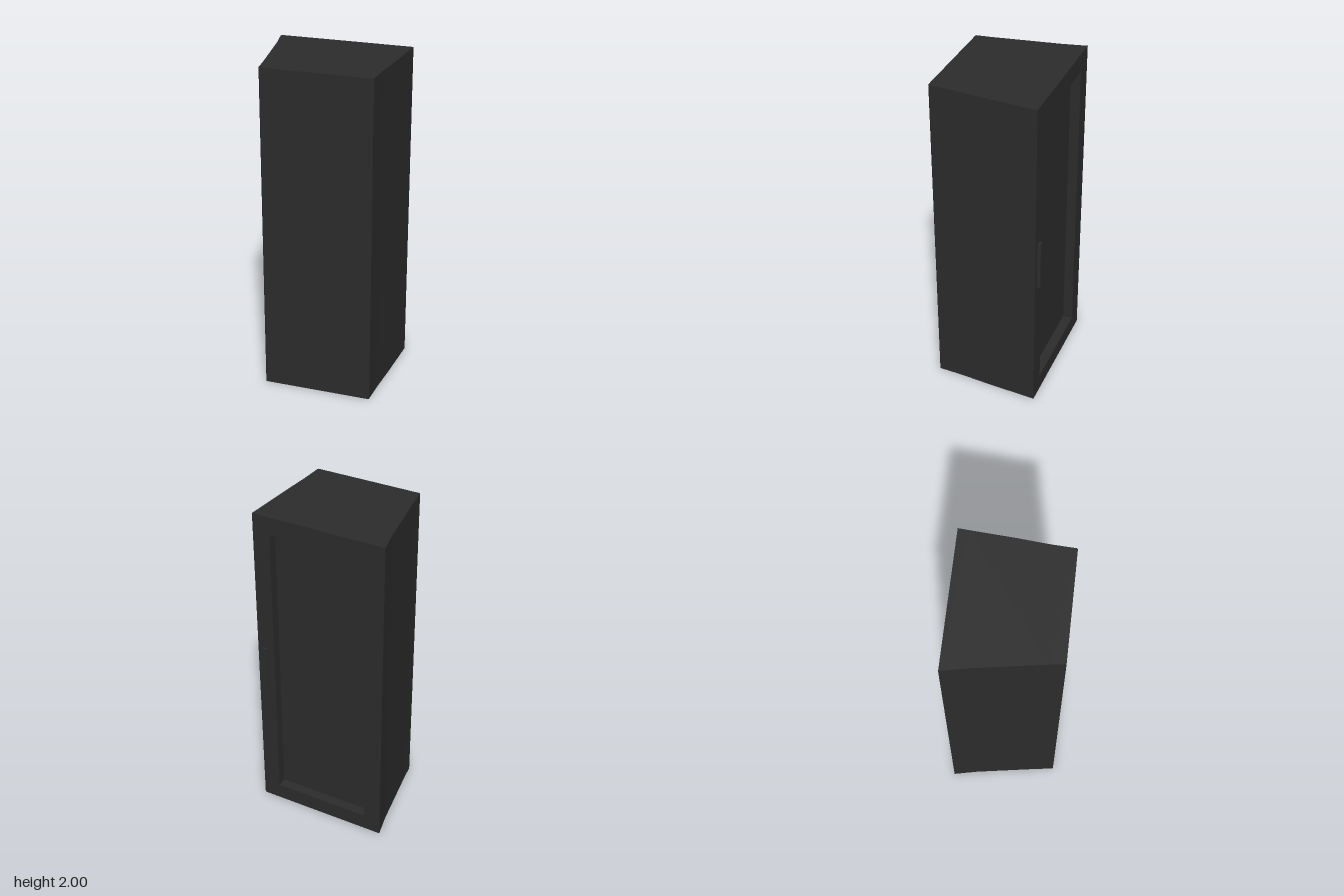
import * as THREE from 'three';

const BACK = -0.315;    // outer plane of the door frame
const RECESS = -0.255;  // plane of the sunken door panel

export function createModel() {
  const group = new THREE.Group();
  const charcoal = new THREE.MeshStandardMaterial({ color: 0x2c2c2c });
  charcoal.name = 'charcoal';

  const add = (name, geometry) => {
    const mesh = new THREE.Mesh(geometry, charcoal);
    mesh.name = name;
    group.add(mesh);
    return mesh;
  };

  const outline = (points) => new THREE.Shape(points.map(([x, y]) => new THREE.Vector2(x, y)));

  // Extrudes a plan outline (x, z) upwards from y0 to y1
  const upright = (plan, y0, y1) => {
    const g = new THREE.ExtrudeGeometry(outline(plan), { depth: y1 - y0, bevelEnabled: false });
    g.rotateX(Math.PI / 2);
    g.translate(0, y1, 0);
    return g;
  };

  // Tapered cabinet body, its back face forming the sunken door panel
  add('cabinetBody', upright([
    [-0.393, RECESS], [0.401, RECESS], [0.382, 0], [0.365, 0.18], [0.357, 0.325], [0.352, 0.33],
    [-0.295, 0.33], [-0.3, 0.325], [-0.31, 0.24], [-0.375, -0.17],
  ], 0, 2));

  // Door frame with a rectangular opening
  const frame = outline([[-0.406, 0], [0.406, 0], [0.406, 2], [-0.406, 2]]);
  frame.holes.push(new THREE.Path([
    [-0.3, 0.1], [-0.3, 1.89], [0.3, 1.89], [0.3, 0.1],
  ].map(([x, y]) => new THREE.Vector2(x, y))));
  const frameGeometry = new THREE.ExtrudeGeometry(frame, { depth: RECESS - BACK, bevelEnabled: false });
  frameGeometry.translate(0, 0, BACK);

  // Narrow the frame where it meets the body
  const p = frameGeometry.attributes.position;
  for (let i = 0; i < p.count; i++) {
    if (Math.abs(p.getX(i)) > 0.35 && p.getZ(i) > RECESS - 0.01) {
      p.setX(i, p.getX(i) < 0 ? -0.393 : 0.401);
    }
  }
  frameGeometry.computeVertexNormals();
  add('doorFrame', frameGeometry);

  // Slim vertical handle with chamfered sides
  add('doorHandle', upright([
    [0.338, BACK + 0.003], [0.345, -0.333], [0.368, -0.333], [0.378, BACK + 0.003],
  ], 0.83, 1.13));

  return group;
}
